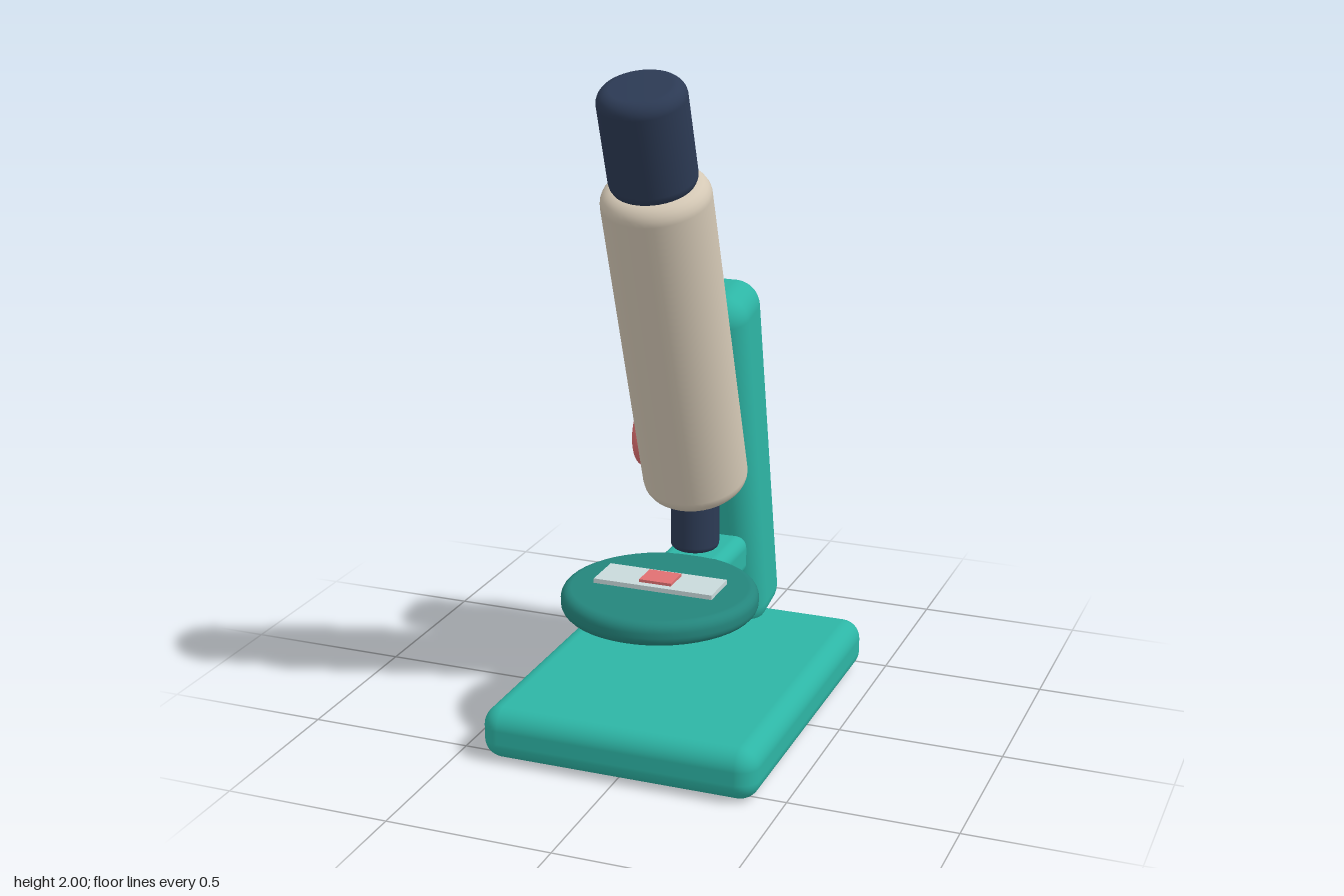
import * as THREE from 'three';
import { RoundedBoxGeometry } from 'three/addons/geometries/RoundedBoxGeometry.js';

function material(name, color) {
  const m = new THREE.MeshStandardMaterial({ color });
  m.name = name;
  return m;
}

// Solid cylinder along y, centred, with rounded rims
function roundedCylinder(radius, height, bevel, segments = 40) {
  const steps = 5;
  const h = height / 2;
  const pts = [new THREE.Vector2(0, -h)];
  for (const side of [-1, 1]) {
    for (let i = 0; i <= steps; i++) {
      const t = (side < 0 ? i : steps - i) / steps * Math.PI / 2;
      pts.push(new THREE.Vector2(
        radius - bevel + Math.sin(t) * bevel,
        side * (h - bevel + Math.cos(t) * bevel)
      ));
    }
  }
  pts.push(new THREE.Vector2(0, h));
  return new THREE.LatheGeometry(pts, segments);
}

export function createModel() {
  const teal = material('teal', 0x2db5a5);
  const darkTeal = material('dark teal', 0x24857c);
  const cream = material('cream', 0xd4c8b5);
  const navy = material('navy', 0x2c3a54);
  const coral = material('coral', 0xe07072);
  const glass = material('pale glass', 0xc8d9da);

  const model = new THREE.Group();
  model.name = 'microscope';

  function add(name, geometry, mat, x, y, z, parent = model) {
    const mesh = new THREE.Mesh(geometry, mat);
    mesh.name = name;
    mesh.position.set(x, y, z);
    parent.add(mesh);
    return mesh;
  }

  // Base slab and leaning arm
  add('base', new RoundedBoxGeometry(0.85, 0.16, 1.07, 5, 0.06), teal, 0, 0.08, 0.035);
  const arm = add('arm', new RoundedBoxGeometry(0.26, 1.16, 0.25, 5, 0.08), teal, 0, 0.705, -0.342);
  arm.rotation.x = 0.2;

  // Stage with its bracket
  add('stageBracket', new RoundedBoxGeometry(0.21, 0.13, 0.28, 4, 0.04), teal, 0, 0.405, -0.16);
  add('stage', roundedCylinder(0.292, 0.075, 0.03, 48), darkTeal, 0, 0.4325, 0.2);

  // Glass slide and specimen
  add('slide', new THREE.BoxGeometry(0.37, 0.014, 0.13), glass, 0, 0.482, 0.197);
  add('specimen', new THREE.BoxGeometry(0.1, 0.009, 0.085), coral, 0, 0.493, 0.197);

  // Tilted optical tube with eyepiece
  const optics = new THREE.Group();
  optics.name = 'opticalTube';
  optics.position.set(0, 1.18, 0.062);
  optics.rotation.x = 0.33;
  model.add(optics);
  add('tube', roundedCylinder(0.159, 1.06, 0.05), cream, 0, 0, 0, optics);
  add('eyepiece', roundedCylinder(0.127, 0.32, 0.04), navy, 0, 0.672, 0, optics);

  // Upright objective lens below the tube
  add('objective', roundedCylinder(0.074, 0.26, 0.018), navy, 0, 0.618, -0.092);

  // Focus knob on the right side of the arm
  const knob = add('focusKnob', roundedCylinder(0.115, 0.16, 0.025), coral, -0.189, 0.755, -0.34);
  knob.rotation.z = Math.PI / 2;

  return model;
}
